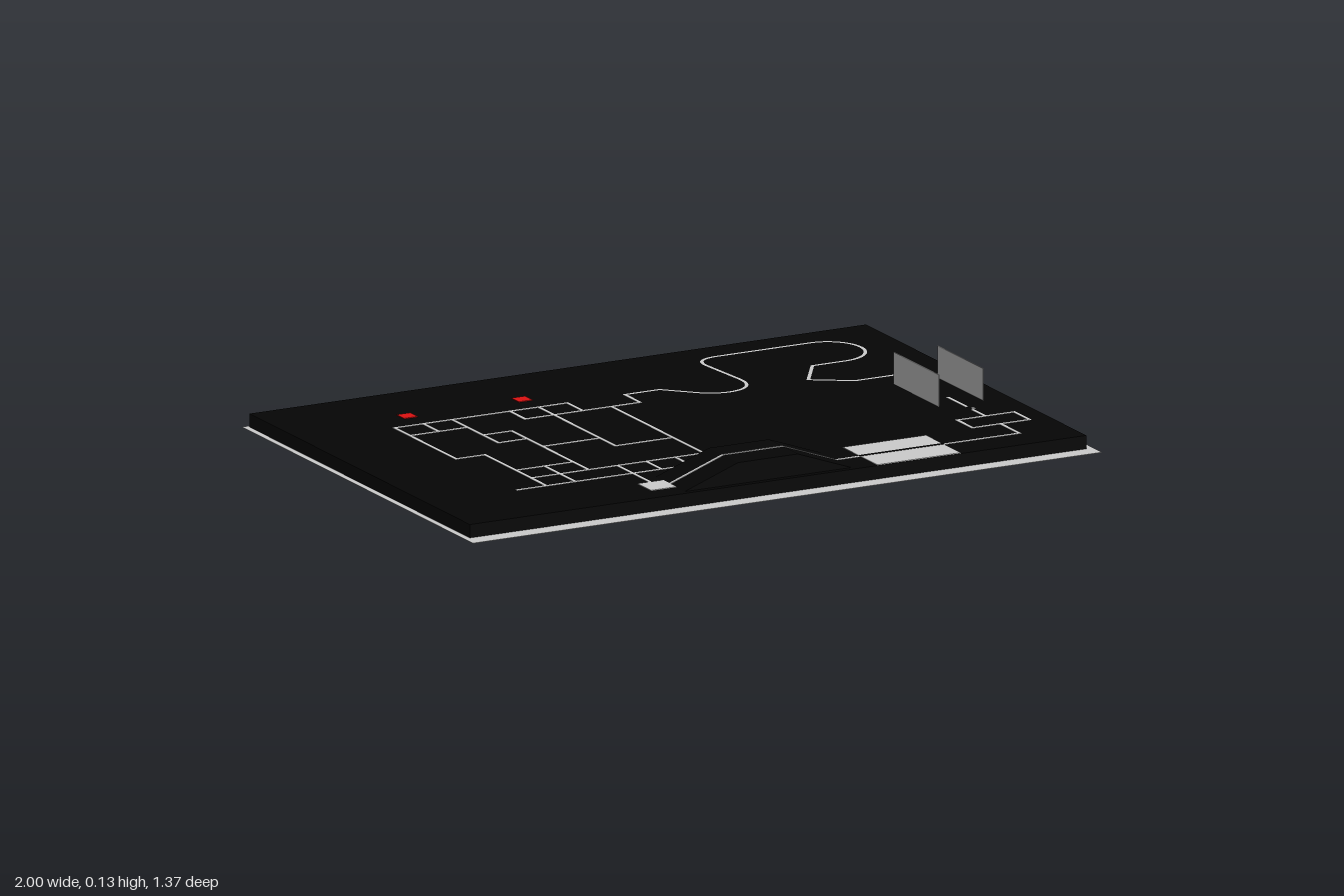
import * as THREE from 'three';

const TOP = 0.04;   // height of the board surface
const LINE = 0.01;  // width of the track lines
const grey = new THREE.MeshStandardMaterial({ color: 0xcccccc });
const ribbonGrey = new THREE.MeshStandardMaterial({ color: 0xcccccc, side: THREE.DoubleSide });
const black = new THREE.MeshStandardMaterial({ color: 0x050505 });
const red = new THREE.MeshStandardMaterial({ color: 0xdd1111 });

export function createModel() {
  const model = new THREE.Group();

  // Box given by its limits on each axis
  function box(name, x0, x1, y0, y1, z0, z1, material = grey, parent = model) {
    const mesh = new THREE.Mesh(new THREE.BoxGeometry(x1 - x0, y1 - y0, z1 - z0), material);
    mesh.position.set((x0 + x1) / 2, (y0 + y1) / 2, (z0 + z1) / 2);
    mesh.name = name;
    parent.add(mesh);
    return mesh;
  }

  // Straight line on the board, along x or z
  function line(name, xa, za, xb, zb, parent) {
    const h = LINE / 2;
    return box(name, Math.min(xa, xb) - h, Math.max(xa, xb) + h, TOP, TOP + 0.001,
      Math.min(za, zb) - h, Math.max(za, zb) + h, grey, parent);
  }

  // Flat mitred ribbon through 2D points (x, z)
  function ribbon(name, points) {
    const pos = [], idx = [];
    points.forEach((p, i) => {
      const a = points[Math.max(i - 1, 0)], b = points[Math.min(i + 1, points.length - 1)];
      const d1 = (i ? p.clone().sub(a) : b.clone().sub(p)).normalize();
      const d2 = (i < points.length - 1 ? b.clone().sub(p) : d1.clone()).normalize();
      const n = new THREE.Vector2(-d1.y - d2.y, d1.x + d2.x).normalize();
      const w = LINE / 2 / Math.max(0.4, n.dot(new THREE.Vector2(-d1.y, d1.x)));
      pos.push(p.x + n.x * w, TOP + 0.001, p.y + n.y * w, p.x - n.x * w, TOP + 0.001, p.y - n.y * w);
      if (i) idx.push(2 * i - 2, 2 * i, 2 * i - 1, 2 * i - 1, 2 * i, 2 * i + 1);
    });
    const g = new THREE.BufferGeometry();
    g.setAttribute('position', new THREE.Float32BufferAttribute(pos, 3));
    g.setIndex(idx);
    g.computeVertexNormals();
    const mesh = new THREE.Mesh(g, ribbonGrey);
    mesh.name = name;
    model.add(mesh);
  }

  // Ground sheet and board
  box('groundSheet', -1, 1, 0, 0.001, -0.686, 0.684);
  box('board', -0.982, 0.978, 0.001, TOP, -0.675, 0.632, black);

  // Maze of lines on a square grid
  const maze = new THREE.Group();
  maze.name = 'maze';
  model.add(maze);
  const gx = i => -0.695 + 0.0915 * i, gz = j => -0.35 + 0.0913 * j;
  const rows = [ // [row, from column, to column]
    [0, 0, 6], [1, 0, 2], [1, 4, 8], [2, 2, 3], [3, 2, 3], [4, 0, 1], [4, 3, 5],
    [5, 5, 7], [6, 1, 3], [7, 1, 7], [8, 0, 8],
  ];
  const columns = [ // [column, from row, to row]
    [0, 0, 4], [1, 0, 1], [1, 4, 8], [2, 0, 3], [2, 6, 8], [3, 2, 7], [4, 0, 1],
    [4, 7, 9.58], [5, 0, 5], [5, 7, 8], [6, 0, 1], [6, 7, 8], [7, 1, 8], [8, 0, 1],
  ];
  rows.forEach(([j, a, b]) => line('mazeRow', gx(a), gz(j), gx(b), gz(j), maze));
  columns.forEach(([i, a, b]) => line('mazeColumn', gx(i), gz(a), gx(i), gz(b), maze));

  // Red markers behind the maze
  for (const x of [-0.605, -0.24]) box('redMarker', x - 0.022, x + 0.022, TOP, TOP + 0.002, -0.465, -0.421, red);

  // Winding road from the maze to the corridor
  const road = new THREE.Shape();
  road.moveTo(0.037, -0.35);
  road.lineTo(0.147, -0.35);
  road.lineTo(0.225, -0.272);
  road.bezierCurveTo(0.285, -0.208, 0.41, -0.225, 0.396, -0.345);
  road.lineTo(0.381, -0.51);
  road.quadraticCurveTo(0.378, -0.578, 0.455, -0.578);
  road.lineTo(0.747, -0.578);
  road.absarc(0.747, -0.472, 0.106, -Math.PI / 2, Math.PI / 2, false);
  road.lineTo(0.642, -0.366);
  road.lineTo(0.563, -0.243);
  road.lineTo(0.674, -0.172);
  road.lineTo(0.822, -0.172);
  road.lineTo(0.822, -0.06);
  ribbon('windingRoad', road.getPoints(16));

  // Broken line through the corridor and around the rectangle
  line('corridorLine', 0.822, 0.105, 0.822, 0.21);
  line('offsetDot', 0.831, 0.235, 0.831, 0.237);
  line('sideLine', 0.822, 0.25, 0.822, 0.323);
  line('sideLine', 0.822, 0.414, 0.822, 0.525);
  for (const z of [0.323, 0.414]) line('loopSide', 0.733, z, 0.914, z);
  for (const x of [0.733, 0.914]) line('loopEnd', x, 0.323, x, 0.414);

  // Corridor walls
  for (const x of [0.755, 0.895]) box('corridorWall', x - 0.0015, x + 0.0015, TOP, 0.133, -0.093, 0.175);

  // Front road, start square and inverted patch
  line('frontRoad', -0.33, 0.525, -0.29, 0.525);
  line('frontRoad', 0.24, 0.525, 0.822, 0.525);
  box('startSquare', -0.37, -0.289, TOP, TOP + 0.002, 0.485, 0.565);
  box('greyPatch', 0.315, 0.58, TOP, TOP + 0.002, 0.423, 0.63);
  box('patchLine', 0.315, 0.58, TOP, TOP + 0.003, 0.52, 0.53, black);

  // Ramp bridge with its line, both extruded along z
  function extruded(name, outline, z0, z1, material) {
    const g = new THREE.ExtrudeGeometry(new THREE.Shape(outline.map(p => new THREE.Vector2(...p))),
      { depth: z1 - z0, bevelEnabled: false });
    const mesh = new THREE.Mesh(g, material);
    mesh.name = name;
    mesh.position.z = z0;
    model.add(mesh);
  }
  const profile = [[-0.29, TOP], [-0.12, 0.102], [0.07, 0.102], [0.24, TOP]];
  extruded('bridge', profile, 0.442, 0.615, black);
  const lifted = profile.map(([x, y]) => [x, y + 0.0012]).reverse();
  extruded('bridgeLine', [...profile, ...lifted], 0.52, 0.53, grey);

  return model;
}
